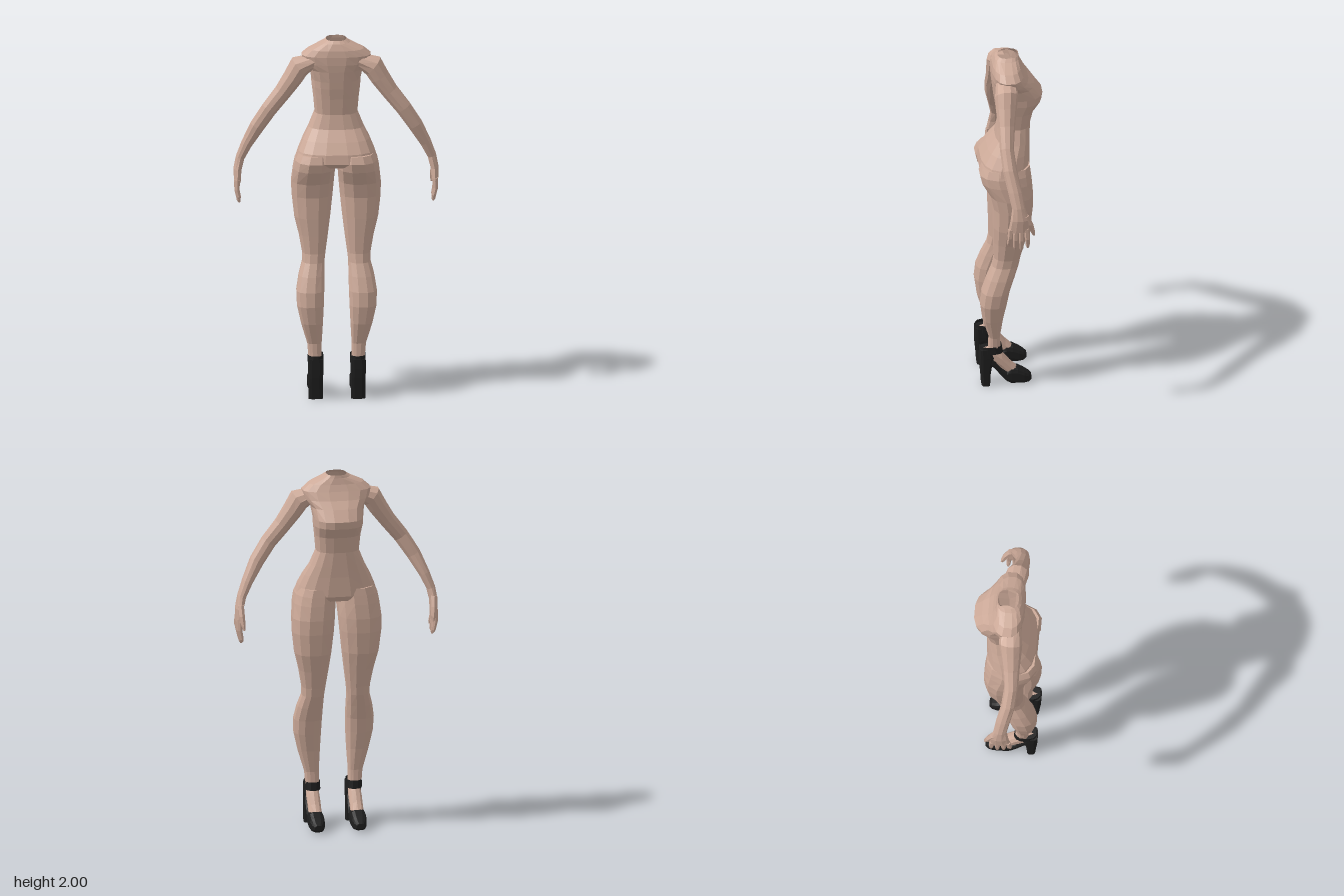
import * as THREE from 'three';

const SIDES_TORSO = 16, SIDES_LEG = 12;
const V = (x, y, z) => new THREE.Vector3(x, y, z);
const X = V(1, 0, 0), DOWN = V(0, -1, 0), Z = V(0, 0, 1);

const skin = new THREE.MeshStandardMaterial({ color: 0xcdaa99, flatShading: true, side: THREE.DoubleSide });
const black = new THREE.MeshStandardMaterial({ color: 0x1e1e1e, flatShading: true, side: THREE.DoubleSide });

// Rounded-box cross-section: centre c, axes u and v, half sizes a and b, squareness n
function ring(c, u, v, a, b, n, sides) {
  const bend = (t) => Math.sign(t) * Math.pow(Math.abs(t), 2 / n);
  return Array.from({ length: sides }, (_, i) => {
    const t = ((i + 0.5) / sides) * Math.PI * 2;
    const k = n > 2 ? 1 : 1 / Math.cos(Math.PI / sides) ** 0.5;
    return c.clone().addScaledVector(u, a * k * bend(Math.cos(t))).addScaledVector(v, b * k * bend(Math.sin(t)));
  });
}

// Skin over a list of rings, with optional end caps
function loft(name, rings, material, capStart = true, capEnd = true) {
  const pos = [], n = rings[0].length;
  const tri = (a, b, c) => pos.push(...a.toArray(), ...b.toArray(), ...c.toArray());
  for (let i = 0; i < rings.length - 1; i++) {
    for (let j = 0; j < n; j++) {
      const k = (j + 1) % n, p = rings[i], q = rings[i + 1];
      tri(p[j], p[k], q[j]);
      tri(p[k], q[k], q[j]);
    }
  }
  const cap = (r, flip) => {
    const mid = r.reduce((s, p) => s.add(p), V(0, 0, 0)).divideScalar(n);
    r.forEach((p, j) => (flip ? tri(mid, p, r[(j + 1) % n]) : tri(mid, r[(j + 1) % n], p)));
  };
  if (capStart) cap(rings[0], false);
  if (capEnd) cap(rings[rings.length - 1], true);
  const g = new THREE.BufferGeometry();
  g.setAttribute('position', new THREE.Float32BufferAttribute(pos, 3));
  g.computeVertexNormals();
  const mesh = new THREE.Mesh(g, material);
  mesh.name = name;
  return mesh;
}

// Horizontal ring from its extents
const level = ([y, x0, x1, z0, z1], n, sides) =>
  ring(V((x0 + x1) / 2, y, (z0 + z1) / 2), X, Z, (x1 - x0) / 2, (z1 - z0) / 2, n, sides);

// Upright ring across the foot: z, half width, bottom, top
const slice = ([z, w, y0, y1], n, sides) =>
  ring(V(0.115, (y0 + y1) / 2, z), X, DOWN, w, (y1 - y0) / 2, n, sides);

// Tube along a path of [x, y, z, half thickness, half depth in z]
function limb(name, path, sides, n = 2) {
  const rings = path.map(([x, y, z, a, b], i) => {
    const p = path[Math.max(i - 1, 0)], q = path[Math.min(i + 1, path.length - 1)];
    const u = V(p[1] - q[1], q[0] - p[0], 0).normalize();
    return ring(V(x, y, z), u, Z, a, b, n, sides);
  });
  return loft(name, rings, skin);
}

function createTorso() {
  // y, half width, chest side z, back side z
  const rows = [
    [2.0, 0.055, -0.05, 0.065], [1.985, 0.075, -0.052, 0.08], [1.95, 0.15, -0.06, 0.095],
    [1.915, 0.19, -0.075, 0.1], [1.87, 0.175, -0.1, 0.1], [1.83, 0.145, -0.135, 0.097],
    [1.77, 0.135, -0.178, 0.09], [1.73, 0.133, -0.172, 0.085], [1.67, 0.125, -0.13, 0.075],
    [1.58, 0.117, -0.11, 0.065], [1.5, 0.15, -0.107, 0.08], [1.44, 0.182, -0.105, 0.125],
    [1.38, 0.208, -0.105, 0.163], [1.33, 0.225, -0.105, 0.172], [1.3, 0.2, -0.085, 0.14],
  ];
  const rings = rows.map(([y, w, f, b]) => level([y, -w, w, f, b], 2.6, SIDES_TORSO));
  return loft('torso', rings, skin, false, true);
}

function createLeg() {
  // y, inner x, outer x, front z, back z
  const rows = [
    [1.37, 0.01, 0.208, -0.1, 0.165], [1.33, 0.003, 0.226, -0.105, 0.18], [1.28, 0.004, 0.236, -0.11, 0.168],
    [1.2, 0.01, 0.245, -0.115, 0.122], [1.12, 0.017, 0.244, -0.112, 0.105], [1.0, 0.03, 0.23, -0.1, 0.105],
    [0.9, 0.043, 0.205, -0.072, 0.102], [0.8, 0.057, 0.187, -0.046, 0.1], [0.75, 0.063, 0.186, -0.036, 0.11],
    [0.68, 0.064, 0.206, -0.012, 0.14], [0.6, 0.065, 0.22, 0.015, 0.168], [0.52, 0.068, 0.217, 0.03, 0.177],
    [0.42, 0.073, 0.195, 0.05, 0.163], [0.3, 0.08, 0.16, 0.065, 0.127], [0.2, 0.08, 0.152, 0.06, 0.13],
  ];
  return loft('leg', rows.map((r) => level(r, 2.35, SIDES_LEG)), skin);
}

function createArm() {
  const arm = new THREE.Group();
  arm.name = 'arm';
  arm.add(limb('armAndPalm', [
    [0.12, 1.885, 0.03, 0.035, 0.055], [0.2, 1.85, 0.037, 0.06, 0.062], [0.235, 1.79, 0.042, 0.053, 0.055],
    [0.29, 1.71, 0.048, 0.046, 0.045], [0.365, 1.615, 0.055, 0.043, 0.037], [0.43, 1.515, 0.045, 0.04, 0.038],
    [0.485, 1.41, 0.022, 0.03, 0.038], [0.519, 1.33, 0.008, 0.024, 0.035], [0.533, 1.265, 0.003, 0.022, 0.05],
    [0.535, 1.195, 0.008, 0.018, 0.06],
  ], 10));
  // Base z, tip z, tip y
  [[0.052, 0.063, 1.105], [0.025, 0.029, 1.08], [-0.005, -0.006, 1.07], [-0.034, -0.04, 1.085]].forEach(
    ([z0, z1, y1], i) => arm.add(limb('finger' + (i + 1), [
      [0.536, 1.215, z0, 0.015, 0.015], [0.537, (1.215 + y1) / 2, (z0 + z1) / 2, 0.014, 0.013],
      [0.527, y1 + 0.015, z1, 0.011, 0.01], [0.524, y1, z1, 0.005, 0.005],
    ], 6)));
  arm.add(limb('thumb', [
    [0.53, 1.29, -0.025, 0.017, 0.02], [0.528, 1.235, -0.05, 0.016, 0.018],
    [0.522, 1.185, -0.067, 0.012, 0.012], [0.519, 1.158, -0.074, 0.005, 0.006],
  ], 6));
  return arm;
}

function createFootAndShoe() {
  const g = new THREE.Group();
  g.name = 'footAndShoe';
  // Bare instep
  g.add(loft('foot', [
    [0.155, 0.033, 0.14, 0.225], [0.1, 0.035, 0.12, 0.235], [0.055, 0.036, 0.085, 0.195],
    [0.01, 0.036, 0.04, 0.137], [-0.04, 0.034, 0.03, 0.085],
  ].map((r) => slice(r, 2.2, 10)), skin));
  // Arched sole running into the closed toe
  g.add(loft('soleAndToe', [
    [0.14, 0.037, 0.13, 0.2], [0.1, 0.039, 0.105, 0.165], [0.06, 0.041, 0.055, 0.105], [0.03, 0.042, 0.018, 0.085],
    [0.005, 0.043, 0.0, 0.105], [-0.03, 0.043, 0.0, 0.1], [-0.065, 0.041, 0.0, 0.078], [-0.09, 0.033, 0.004, 0.06],
    [-0.105, 0.02, 0.015, 0.045],
  ].map((r) => slice(r, 3.2, 12)), black));
  // Block heel with its back counter
  g.add(loft('heel', [
    [0.225, 0.074, 0.156, 0.115, 0.177], [0.17, 0.073, 0.157, 0.095, 0.178], [0.12, 0.074, 0.156, 0.108, 0.176],
    [0.06, 0.075, 0.155, 0.117, 0.17], [0, 0.075, 0.155, 0.119, 0.166],
  ].map((r) => level(r, 4, 12)), black));
  // Ankle strap
  g.add(loft('ankleStrap', [
    [0.243, 0.072, 0.157, 0.054, 0.172], [0.198, 0.071, 0.158, 0.047, 0.177],
  ].map((r) => level(r, 2.5, 12)), black, false, false));
  return g;
}

export function createModel() {
  const model = new THREE.Group();
  model.name = 'figure';
  model.add(createTorso());
  // Left side, then its mirror image
  for (const [name, s] of [['leftSide', 1], ['rightSide', -1]]) {
    const side = new THREE.Group();
    side.name = name;
    side.add(createLeg(), createArm(), createFootAndShoe());
    side.scale.x = s;
    model.add(side);
  }
  return model;
}
